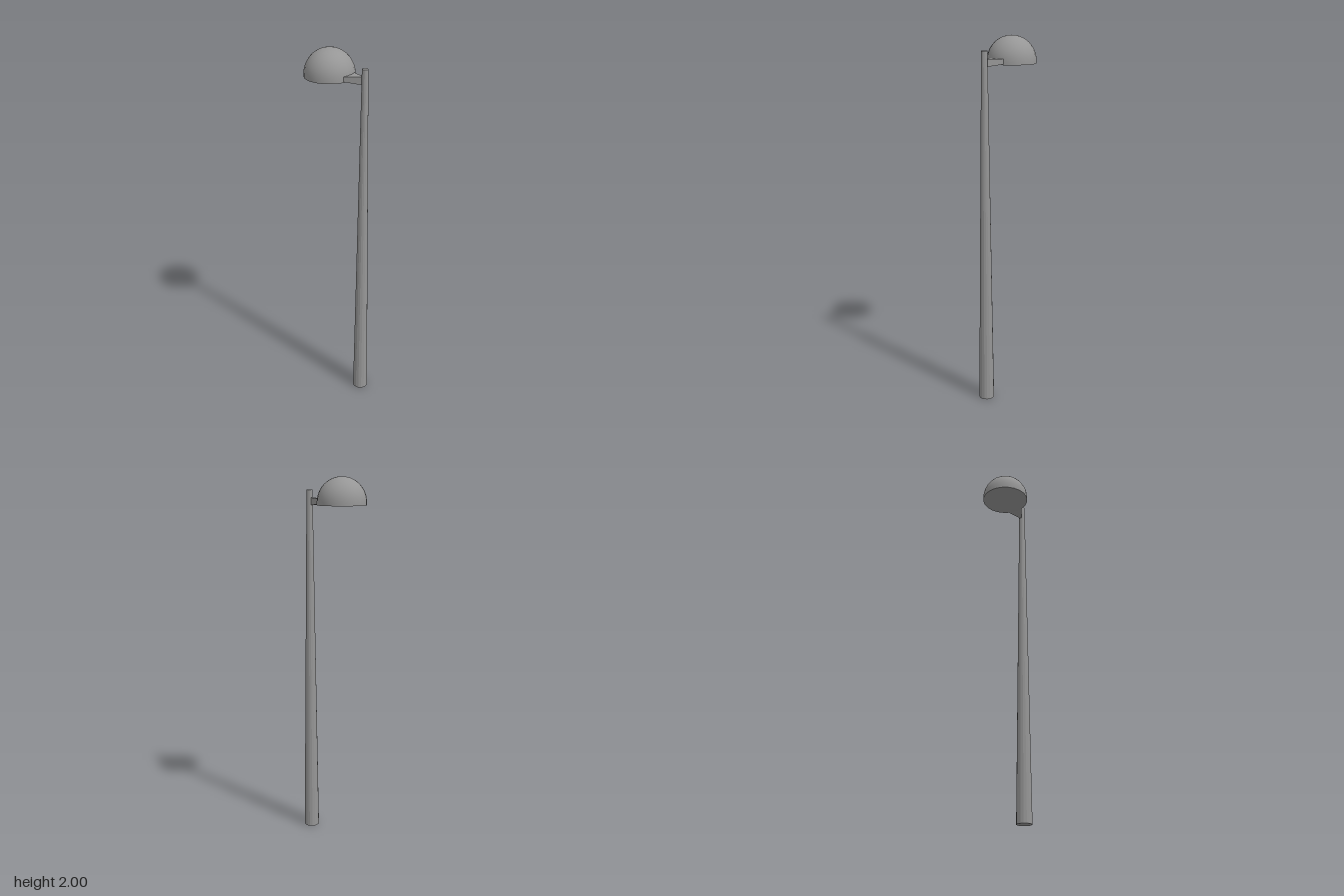
import * as THREE from 'three';

const POLE_X = 0.152, POLE_HEIGHT = 1.93;
const LAMP_X = -0.065, LAMP_RADIUS = 0.13, LAMP_BASE = 1.855, LAMP_SIDES = 24;

export function createModel() {
  const group = new THREE.Group();
  const smooth = new THREE.MeshStandardMaterial({ color: 0x969696 });
  const flat = new THREE.MeshStandardMaterial({ color: 0x969696, flatShading: true });

  const add = (name, geometry, material, x, y) => {
    const mesh = new THREE.Mesh(geometry, material);
    mesh.name = name;
    mesh.position.set(x, y, 0);
    group.add(mesh);
  };

  // Tapered faceted pole
  const pole = new THREE.CylinderGeometry(0.016, 0.042, POLE_HEIGHT, 16);
  add('pole', pole, flat, POLE_X, POLE_HEIGHT / 2);

  // Lamp dome: short straight rim, then a quarter-circle profile
  const profile = [new THREE.Vector2(LAMP_RADIUS, 0)];
  for (let i = 0; i <= 10; i++) {
    const a = (i / 10) * Math.PI / 2;
    const r = i === 10 ? 0 : LAMP_RADIUS * Math.cos(a);
    profile.push(new THREE.Vector2(r, 0.015 + LAMP_RADIUS * Math.sin(a)));
  }
  const halfStep = Math.PI / LAMP_SIDES;
  const dome = new THREE.LatheGeometry(profile, LAMP_SIDES, halfStep, Math.PI * 2);
  add('lampDome', dome, smooth, LAMP_X, LAMP_BASE);

  // Flat underside of the lamp
  const underside = new THREE.CircleGeometry(LAMP_RADIUS, LAMP_SIDES, halfStep, Math.PI * 2);
  underside.rotateX(Math.PI / 2);
  add('lampUnderside', underside, smooth, LAMP_X, LAMP_BASE);

  // Bracket: wide and thin inside the lamp, narrow and tall at the pole
  const bracket = new THREE.BoxGeometry(1, 1, 1);
  const p = bracket.attributes.position;
  for (let i = 0; i < p.count; i++) {
    const atPole = p.getX(i) > 0, top = p.getY(i) > 0;
    const y = atPole ? (top ? 1.89 : 1.849) : (top ? 1.884 : 1.861);
    p.setXYZ(i, atPole ? 0.145 : 0.04, y, Math.sign(p.getZ(i)) * (atPole ? 0.002 : 0.053));
  }
  bracket.computeVertexNormals();
  add('bracket', bracket, flat, 0, 0);

  return group;
}
